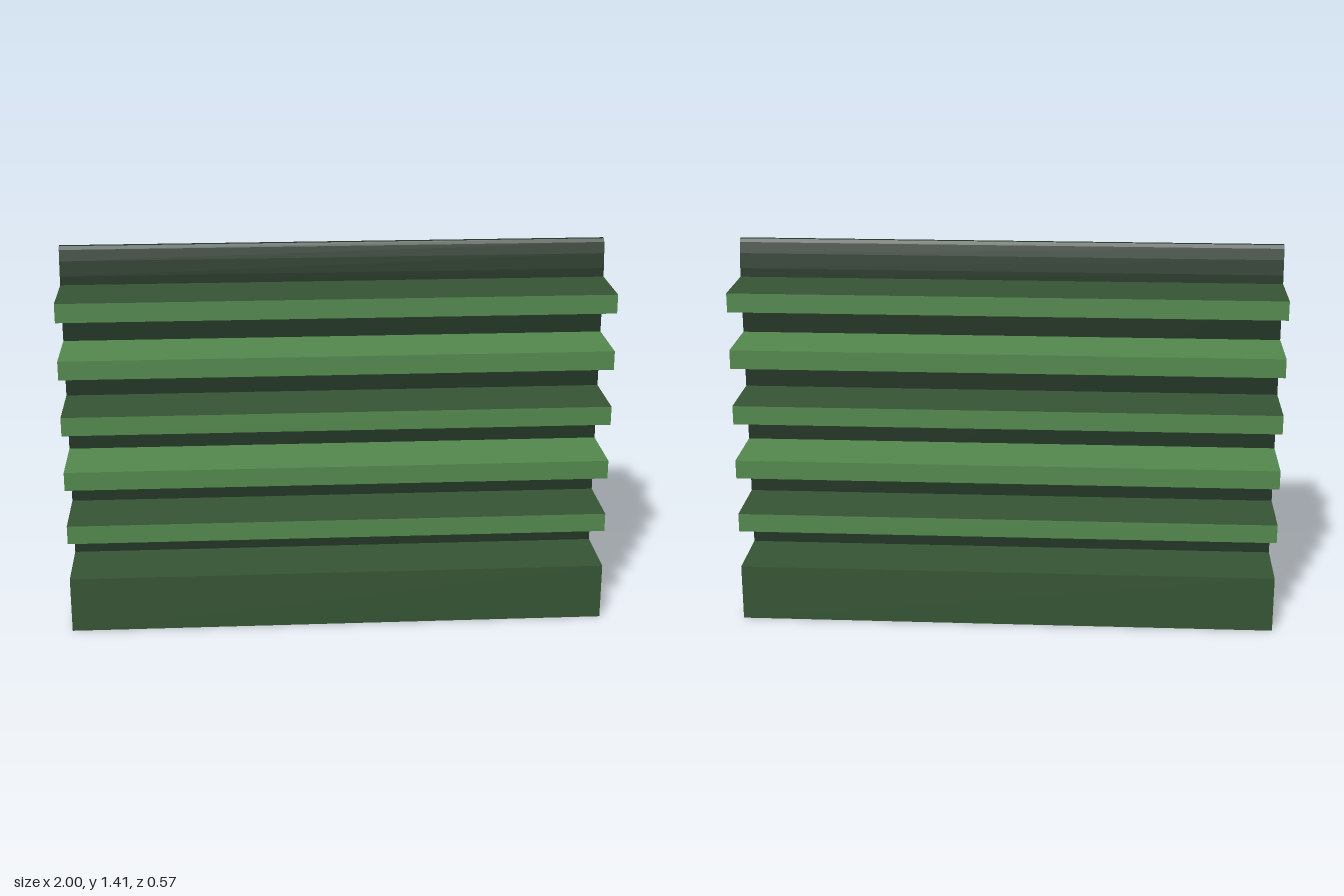
import * as THREE from 'three';

const flat = (name, color) => {
  const m = new THREE.MeshStandardMaterial({ color });
  m.name = name;
  return m;
};

export function createModel() {
  const model = new THREE.Group();
  model.name = 'shelfUnit';
  const light = flat('lightGreen', 0x54894f);
  const mid = flat('midGreen', 0x365535);
  const dark = flat('darkGreen', 0x213523);

  const length = 2, halfDepth = 0.285, halfWall = 0.035, baseHeight = 0.212;

  const add = (name, geometry, material, y = 0, z = 0) => {
    const mesh = new THREE.Mesh(geometry, material);
    mesh.name = name;
    mesh.position.set(0, y, z);
    model.add(mesh);
    return mesh;
  };

  // Solid plinth
  add('base', new THREE.BoxGeometry(length, baseHeight, halfDepth * 2), mid, baseHeight / 2);

  // Upright centre wall with a tapered, rounded crest, extruded along x
  const crest = [[0.035, 1.27], [0.033, 1.305], [0.026, 1.36], [0.017, 1.4], [0.008, 1.412]];
  const profile = new THREE.Shape();
  profile.moveTo(-halfWall, baseHeight);
  profile.lineTo(halfWall, baseHeight);
  crest.forEach(([z, y]) => profile.lineTo(z, y));
  [...crest].reverse().forEach(([z, y]) => profile.lineTo(-z, y));
  const wall = new THREE.ExtrudeGeometry(profile, { depth: length, bevelEnabled: false });
  wall.translate(0, 0, -length / 2).rotateY(Math.PI / 2);
  add('centreWall', wall, dark);

  // Five shelves on each side; tops and undersides alternate in colour
  const shelfDepth = halfDepth - halfWall;
  const shelf = new THREE.BoxGeometry(length, 0.07, shelfDepth);
  for (let i = 0; i < 5; i++) {
    const face = i % 2 ? light : mid;
    for (const side of [1, -1]) {
      add(side > 0 ? 'frontShelf' : 'backShelf', shelf,
        [light, light, face, face, light, light],
        0.39 + i * 0.212, side * (halfWall + shelfDepth / 2));
    }
  }
  return model;
}
